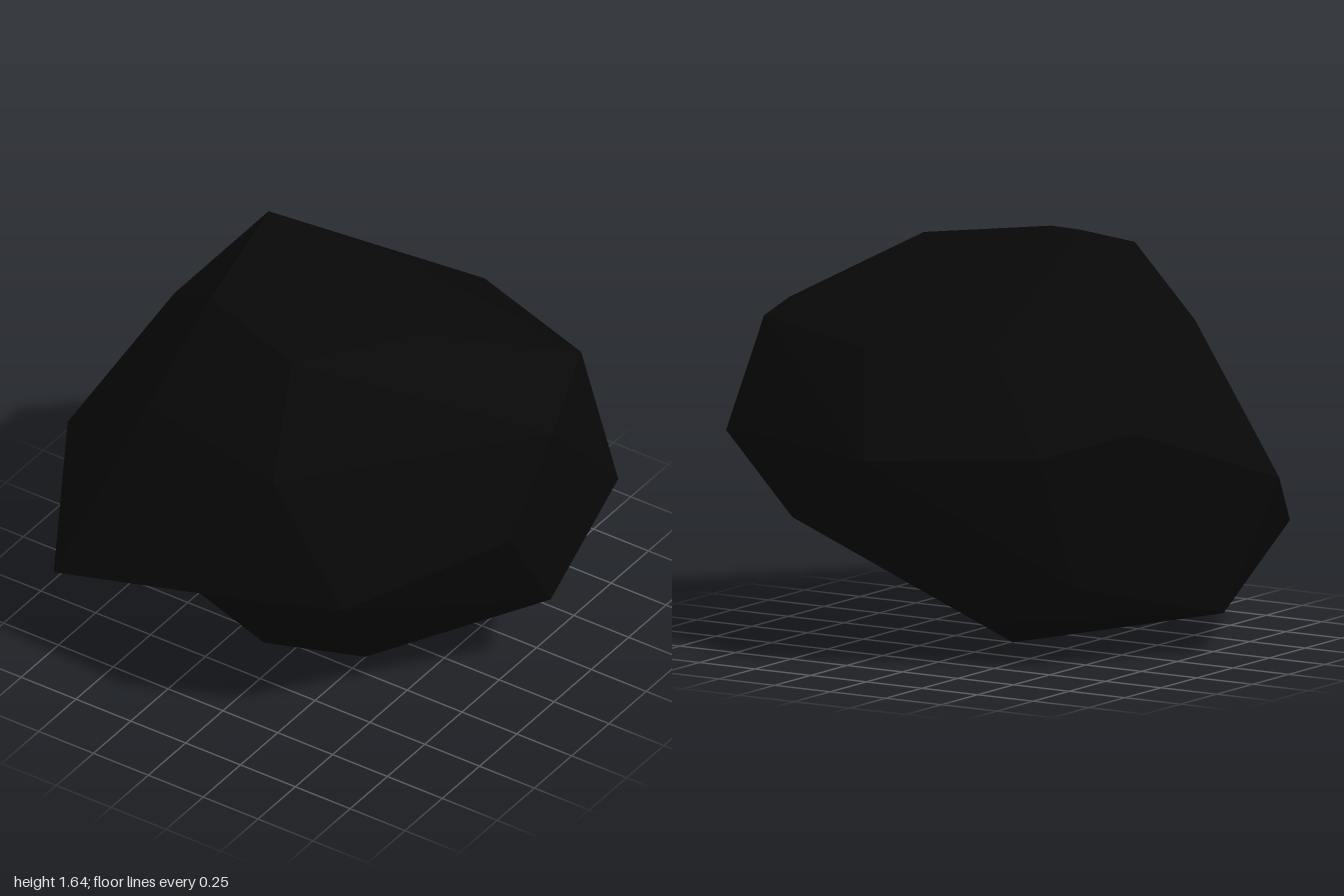
import * as THREE from 'three';
import { ConvexGeometry } from 'three/addons/geometries/ConvexGeometry.js';

const toVectors = (points) => points.map((p) => new THREE.Vector3(...p));

export function createModel() {
  const group = new THREE.Group();
  group.name = 'rock';
  const darkStone = new THREE.MeshStandardMaterial({ color: 0x080808 });
  darkStone.name = 'darkStone';

  const addFacetedStone = (name, points) => {
    const mesh = new THREE.Mesh(new ConvexGeometry(toVectors(points)), darkStone);
    mesh.name = name;
    group.add(mesh);
  };

  // Corners shared by the boulder and its jutting ledge
  const leftCheek = [-1, 0.68, 0.32];
  const lowCorner = [-0.82, 0.16, 0.21];
  const noseCorner = [0.15, 0.7, 0.935];
  const browCorner = [-0.42, 1.18, 0.63];
  const frontCorner = [0.28, 1.22, 0.825];
  const shared = [leftCheek, lowCorner, noseCorner, browCorner, frontCorner];

  // Main boulder: corners listed ring by ring from the top down
  const crown = [
    [-0.39, 1.64, -0.13], [0.43, 1.52, 0.06], [0.13, 1.51, 0.48],
    [-0.35, 1.52, 0.32], [0.05, 1.46, -0.38],
  ];
  const shoulder = [
    [0.98, 1.23, -0.02], [0.79, 1.25, -0.49], [0.2, 1.22, -0.71],
    [-0.3, 1.25, -0.6], [-0.69, 1.25, 0.06],
  ];
  const waist = [
    [0.57, 0.72, 0.785], [0.95, 0.86, 0.22], [1, 0.78, -0.43], [0.63, 0.83, -0.69],
    [0.05, 0.83, -0.94], [-0.55, 0.85, -0.65], [-0.76, 0.92, -0.31],
  ];
  const base = [
    [0.93, 0.4, -0.08], [0.25, 0.46, -0.75], [-0.57, 0.33, -0.44], [-0.16, 0.15, -0.4],
    [0.35, 0.13, 0.31], [-0.07, 0.06, 0.37], [-0.01, 0, 0],
  ];
  addFacetedStone('boulder', [...crown, ...shoulder, ...waist, ...base, ...shared]);

  // Ledge overhanging the lower front
  addFacetedStone('overhangingLedge', [[-0.71, 0.41, 0.84], ...shared]);

  return group;
}
